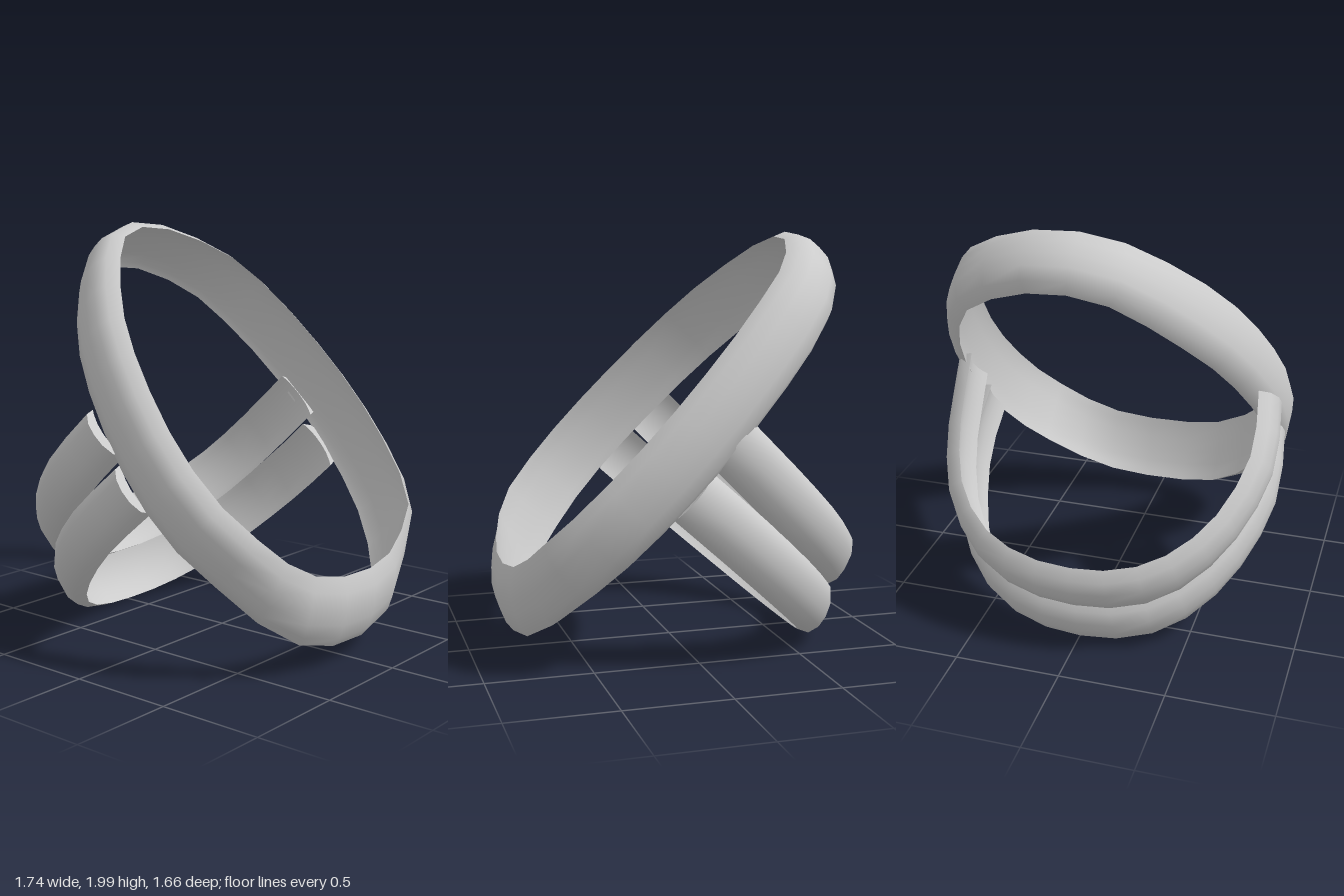
import * as THREE from 'three';
import { toCreasedNormals } from 'three/addons/utils/BufferGeometryUtils.js';

const material = new THREE.MeshStandardMaterial({ color: 0xcccccc });

// Sweeps a crescent section along a path of (along, z) points lying in a tilted plane.
// outer and inner are [across, depth] points; inner runs between the two outer tips.
// warp adjusts [along, across] per vertex.
function band(name, { origin, dir, path, closed, outer, inner, segments, warp }) {
  const len = Math.hypot(dir[0], dir[1]);
  const u = [dir[0] / len, dir[1] / len];
  const n = [-u[1], u[0]];
  const curve = new THREE.CatmullRomCurve3(path.map(([s, z]) => new THREE.Vector3(s, z, 0)), closed);
  const loop = [...outer, ...[...inner].reverse()];
  const k = loop.length;
  const m = outer.length;
  const rings = closed ? segments : segments + 1;
  const positions = [];
  const index = [];

  for (let i = 0; i < rings; i++) {
    const p = curve.getPointAt(i / segments);
    const t = curve.getTangentAt(i / segments);
    for (const [across, depth] of loop) {
      const [s, v] = warp(p.x + t.y * depth, across);
      positions.push(origin[0] + u[0] * s + n[0] * v, origin[1] + u[1] * s + n[1] * v, p.y - t.x * depth);
    }
  }
  const triangle = (a, b, c) => {
    if (a !== b && b !== c && c !== a) index.push(a, b, c);
  };
  const quad = (a, b, c, d) => {
    triangle(a, b, c);
    triangle(a, c, d);
  };
  for (let i = 0; i < segments; i++) {
    const a = i * k;
    const b = ((i + 1) % rings) * k;
    for (let j = 0; j < k; j++) {
      const j2 = (j + 1) % k;
      quad(a + j, b + j, b + j2, a + j2);
    }
  }
  // crescent caps on open ends
  if (!closed) {
    const e = segments * k;
    const opposite = (j) => (j === m - 1 ? j : (k - j) % k);
    for (let j = 0; j < m - 1; j++) {
      quad(j, j + 1, opposite(j + 1), opposite(j));
      quad(e + j, e + opposite(j), e + opposite(j + 1), e + j + 1);
    }
  }
  const geometry = new THREE.BufferGeometry();
  geometry.setAttribute('position', new THREE.Float32BufferAttribute(positions, 3));
  geometry.setIndex(index);
  const mesh = new THREE.Mesh(toCreasedNormals(geometry, 0.9), material);
  mesh.name = name;
  return mesh;
}

export function createModel() {
  const group = new THREE.Group();
  group.name = 'doubleBandRing';

  // large tilted oval hoop, narrower and slanted at its low end
  group.add(band('largeHoop', {
    origin: [0.095, 1.07],
    dir: [0.68, -0.733],
    closed: true,
    segments: 28,
    path: [
      [-1.17, 0], [-1.1, 0.2], [-0.9, 0.4], [-0.56, 0.62], [-0.18, 0.75], [0.22, 0.81],
      [0.52, 0.78], [0.75, 0.68], [0.95, 0.54], [1.1, 0.33], [1.15, 0],
      [1.1, -0.29], [0.93, -0.53], [0.72, -0.69], [0.42, -0.79], [0.12, -0.83],
      [-0.19, -0.82], [-0.56, -0.75], [-0.9, -0.6], [-1.1, -0.34], [-1.165, -0.15],
    ],
    outer: [[-0.168, 0.09], [-0.135, 0.03], [-0.07, 0.004], [0, 0], [0.07, 0.004], [0.135, 0.03], [0.168, 0.09]],
    inner: [[-0.13, 0.08], [-0.07, 0.074], [0, 0.072], [0.07, 0.074], [0.13, 0.08]],
    warp: (s, v) => {
      const low = THREE.MathUtils.smoothstep(s, 0.7, 1.1);
      const high = THREE.MathUtils.smoothstep(-s, 0.7, 1.1);
      const w = v * (1 - 0.15 * low - 0.1 * high);
      return [s - 0.6 * w * low, w - 0.036 * low];
    },
  }));

  // two half loops hanging side by side from the hoop
  const halfLoop = [
    [-0.03, 0.81], [0.25, 0.83], [0.5, 0.76], [0.72, 0.63], [0.9, 0.43], [0.98, 0.22], [1, 0],
    [0.97, -0.25], [0.87, -0.47], [0.67, -0.65], [0.4, -0.75], [0.18, -0.78],
  ];
  const loops = [
    ['upperBand', [-0.095, 1.045], [-0.71, -0.7], 1.05, -0.8],
    ['lowerBand', [0.07, 0.81], [-0.745, -0.665], 1.1, -0.77],
  ];
  for (const [name, origin, dir, length, endZ] of loops) {
    group.add(band(name, {
      origin,
      dir,
      closed: false,
      segments: 18,
      path: [...halfLoop, [-0.03, endZ]].map(([s, z]) => [s * length, z]),
      outer: [[-0.135, 0.095], [-0.115, 0.04], [-0.06, 0.008], [0, 0], [0.06, 0.008], [0.115, 0.04], [0.135, 0.095]],
      inner: [[-0.105, 0.08], [-0.055, 0.065], [0, 0.06], [0.055, 0.065], [0.105, 0.08]],
      // the low side of each loop hangs a little further out
      warp: (s, v) => [s + 0.22 * v * THREE.MathUtils.smoothstep(s, 0.5, 1), v],
    }));
  }
  return group;
}
